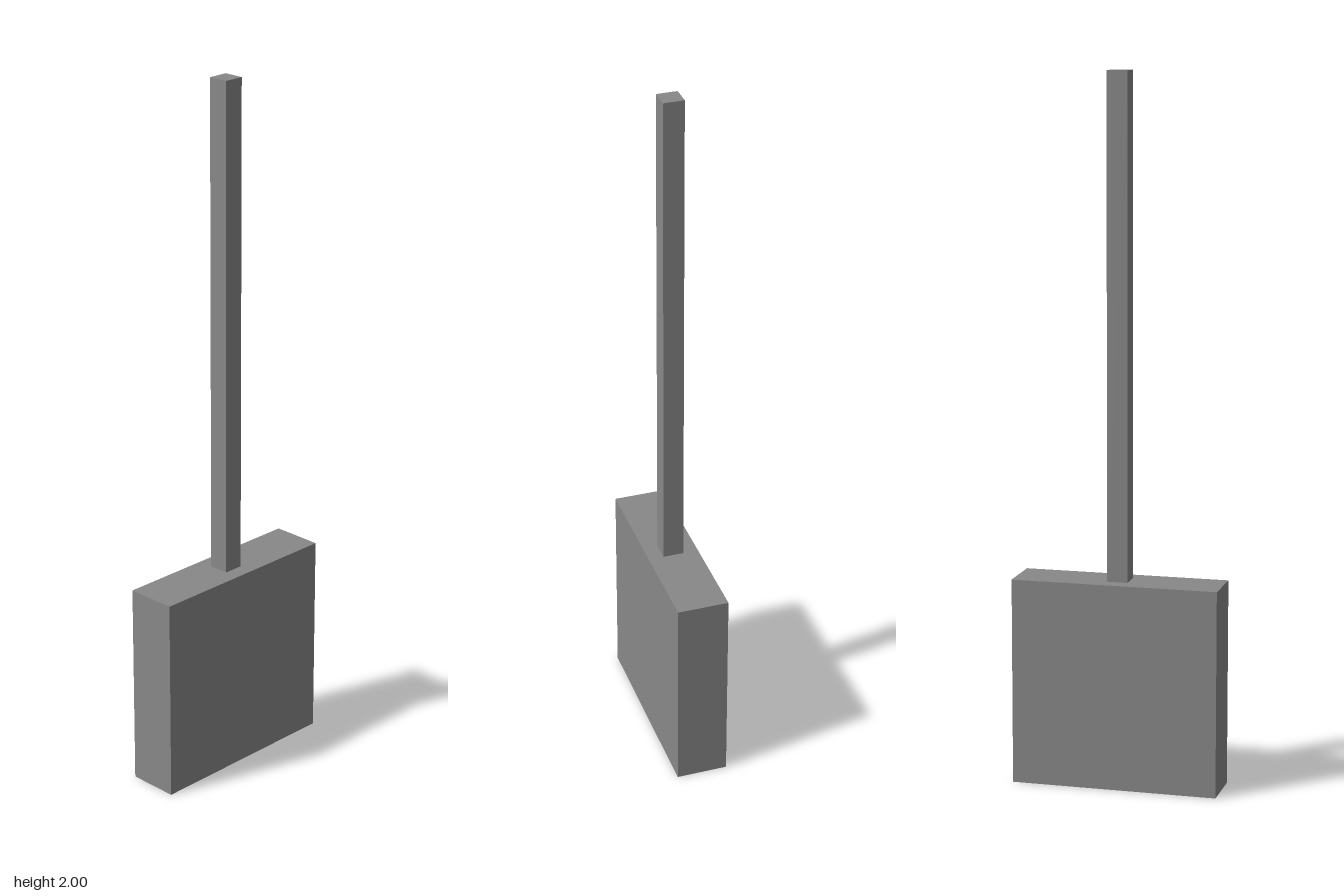
import * as THREE from 'three';

// Thin-walled box without a floor, standing on y = base
function openBox(name, width, height, depth, base, material) {
  const geometry = new THREE.BoxGeometry(width, height, depth);
  const index = Array.from(geometry.index.array);
  index.splice(18, 6); // drop the underside
  geometry.setIndex(index);
  geometry.clearGroups();
  const mesh = new THREE.Mesh(geometry, material);
  mesh.name = name;
  mesh.position.y = base + height / 2;
  return mesh;
}

export function createModel() {
  const group = new THREE.Group();
  group.name = 'mallet';
  const grey = new THREE.MeshStandardMaterial({ color: 0x888888, side: THREE.DoubleSide });
  grey.name = 'grey';

  const u = 2 / 68; // the handle and head together are 68 units tall
  group.add(openBox('head', 20 * u, 20 * u, 5 * u, 0, grey)); // hollow head, open below
  group.add(openBox('handle', 2 * u, 48 * u, 2 * u, 20 * u, grey)); // square handle
  return group;
}
